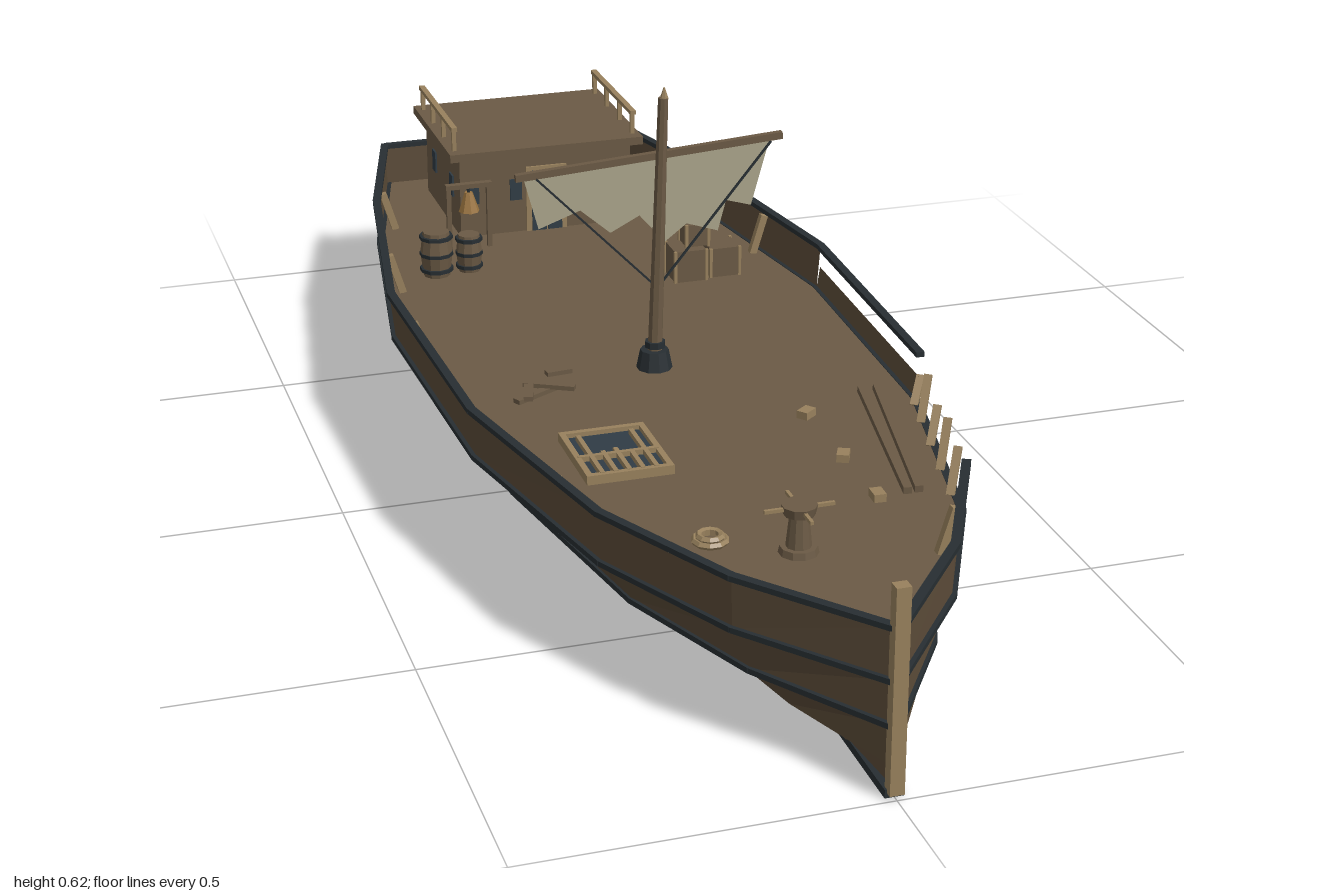
import * as THREE from 'three';

const mat = (name, color, double) => {
  const m = new THREE.MeshStandardMaterial({ color, flatShading: true });
  m.name = name;
  if (double) m.side = THREE.DoubleSide;
  return m;
};

export function createModel() {
  const ship = new THREE.Group();
  ship.name = 'oldShip';
  const hullWood = mat('hull wood', 0x5c4c39, true);
  const wood = mat('deck wood', 0x6b5a45, true);
  const tan = mat('pale wood', 0x98815d);
  const iron = mat('dark iron', 0x272e32);
  const glass = mat('dark opening', 0x303c45);
  const cloth = mat('sail cloth', 0xaaa48a, true);
  const brass = mat('brass', 0x9a7440);

  const V = (x, y, z) => new THREE.Vector3(x, y, z);
  const add = (name, geo, m, x = 0, y = 0, z = 0, parent = ship) => {
    const mesh = new THREE.Mesh(geo, m);
    mesh.name = name;
    mesh.position.set(x, y, z);
    parent.add(mesh);
    return mesh;
  };
  const box = (name, m, w, h, d, x, y, z, parent) =>
    add(name, new THREE.BoxGeometry(w, h, d), m, x, y, z, parent);
  const cyl = (name, m, rt, rb, h, x, y, z, sides = 8, parent) =>
    add(name, new THREE.CylinderGeometry(rt, rb, h, sides), m, x, y, z, parent);
  // box beam from a to b
  const beam = (name, m, a, b, w, h, extra = 0) => {
    const mesh = box(name, m, w, h, a.distanceTo(b) + extra, 0, 0, 0);
    mesh.position.copy(a).add(b).multiplyScalar(0.5);
    mesh.lookAt(b);
    return mesh;
  };

  // Hull: stations [z, half width], levels [y, share of width]
  const stations = [[0.985, 0.004], [0.8, 0.153], [0.575, 0.263], [0.205, 0.345],
    [-0.265, 0.36], [-0.69, 0.293], [-0.975, 0.218]];
  const levels = [[0.007, 0.12], [0.04, 0.47], [0.1, 0.82], [0.163, 0.985], [0.237, 1]];
  const deckY = 0.166;
  const pt = (s, l, side = 1, y = levels[l][0]) =>
    V(side * stations[s][1] * levels[l][1], y, stations[s][0]);
  const widthAt = z => {
    for (let i = 0; i < 6; i++) {
      const [z0, w0] = stations[i], [z1, w1] = stations[i + 1];
      if (z <= z0 && z >= z1) return w0 + (w1 - w0) * (z0 - z) / (z0 - z1);
    }
    return 0.22;
  };
  const tris = [];
  const quad = (a, b, c, d) => [a, b, c, a, c, d].forEach(p => tris.push(p.x, p.y, p.z));
  for (const side of [1, -1]) {
    for (let s = 0; s < 6; s++) {
      for (let l = 0; l < 4; l++) {
        let top = levels[l + 1][0];
        if (l === 3 && side === 1 && s === 2) continue; // breach in the bulwark
        if (l === 3 && side === 1 && s === 3) top = 0.2; // broken lower bulwark
        const q = [pt(s, l, side), pt(s + 1, l, side), pt(s + 1, l + 1, side, top), pt(s, l + 1, side, top)];
        quad(...(side > 0 ? q : q.reverse()));
      }
    }
  }
  for (let s = 0; s < 6; s++) quad(pt(s, 0, -1), pt(s + 1, 0, -1), pt(s + 1, 0), pt(s, 0));
  for (let l = 0; l < 4; l++) quad(pt(6, l, 1), pt(6, l, -1), pt(6, l + 1, -1), pt(6, l + 1, 1));
  const hullGeo = new THREE.BufferGeometry();
  hullGeo.setAttribute('position', new THREE.Float32BufferAttribute(tris, 3));
  hullGeo.computeVertexNormals();
  add('hull', hullGeo, hullWood);

  // Deck
  const outline = [1, -1].flatMap(side => {
    const row = stations.map(([z, w]) => new THREE.Vector2(side * w * 0.985, -z));
    return side > 0 ? row : row.reverse();
  });
  add('deck', new THREE.ShapeGeometry(new THREE.Shape(outline)).rotateX(-Math.PI / 2), wood, 0, deckY, 0);

  // Wales and cap rail
  for (const l of [2, 3, 4]) {
    for (const side of [1, -1]) {
      for (let s = 0; s < 6; s++) {
        if (l === 4 && side === 1 && s === 2) continue;
        beam(l === 4 ? 'capRail' : 'wale', iron, pt(s, l, side), pt(s + 1, l, side), 0.013, 0.008, 0.004);
      }
    }
  }
  beam('sternRail', iron, pt(6, 4, 1), pt(6, 4, -1), 0.012, 0.008);
  box('keel', iron, 0.026, 0.012, 1.965, 0, 0.006, 0.008);
  box('stemPost', tan, 0.02, 0.291, 0.018, 0, 0.1525, 0.991);

  // Stern hatch
  box('sternHatchFrame', iron, 0.06, 0.088, 0.008, 0, 0.148, -0.99);
  box('sternHatch', hullWood, 0.05, 0.078, 0.008, 0, 0.148, -0.996);
  box('sternBracket', iron, 0.008, 0.012, 0.05, 0, 0.19, -0.965);

  // Bulwark knees
  for (const side of [1, -1]) {
    for (const z of [-0.74, -0.445, -0.15, 0.45, 0.69]) {
      if (side === 1 && (z === 0.45 || z === -0.15)) continue;
      const w = widthAt(z);
      beam('bulwarkKnee', tan, V(side * (w - 0.028), deckY, z), V(side * (w - 0.008), 0.232, z), 0.012, 0.012);
    }
  }

  // Broken planks at the breach
  [0.53, 0.45, 0.37, 0.29, 0.23].forEach((z, i) => {
    const w = widthAt(z);
    beam('brokenPlank', tan, V(w - 0.012, deckY, z), V(w + 0.01, [0.225, 0.232, 0.215, 0.228, 0.2][i], z - 0.03), 0.012, 0.006);
  });
  beam('fallenRail', wood, V(0.295, 0.172, 0.16), V(0.222, 0.172, 0.51), 0.012, 0.01);
  beam('fallenRail', wood, V(0.27, 0.172, 0.16), V(0.205, 0.172, 0.51), 0.012, 0.01);
  for (const z of [0.22, 0.375, 0.51]) box('splinter', tan, 0.025, 0.012, 0.018, 0.16, 0.172, z).rotation.y = z * 3;

  // Cabin
  const cabin = new THREE.Group();
  cabin.name = 'cabin';
  ship.add(cabin);
  box('cabinWalls', wood, 0.305, 0.145, 0.255, 0, 0.2375, -0.79, cabin);
  box('cabinRoof', wood, 0.343, 0.014, 0.285, 0, 0.315, -0.79, cabin);
  const front = -0.6625;
  for (const x of [-0.13, -0.054, 0.052, 0.128]) box('cabinWindow', glass, 0.021, 0.038, 0.006, x, 0.244, front, cabin);
  box('doorFrame', tan, 0.072, 0.117, 0.008, 0, 0.2245, front, cabin);
  for (const x of [-0.014, 0.014]) box('doorLeaf', glass, 0.025, 0.109, 0.008, x, 0.2215, front + 0.003, cabin);
  for (const side of [1, -1]) {
    for (const z of [-0.72, -0.85]) box('sideWindow', glass, 0.006, 0.038, 0.024, side * 0.1525, 0.244, z, cabin);
    for (const z of [-0.672, -0.75, -0.83, -0.908]) box('roofRailPost', tan, 0.007, 0.04, 0.007, side * 0.159, 0.34, z, cabin);
    box('roofRail', tan, 0.01, 0.007, 0.25, side * 0.159, 0.361, -0.79, cabin);
  }

  // Mast, yard, sail and ropes
  const mastZ = -0.025;
  const mast = cyl('mast', wood, 0.008, 0.012, 0.435, 0.007, 0.3825, mastZ, 8);
  mast.rotation.z = -0.032;
  cyl('mastTip', tan, 0.001, 0.007, 0.018, 0.0155, 0.607, mastZ, 6);
  cyl('mastCollar', iron, 0.022, 0.028, 0.03, 0, deckY + 0.015, mastZ, 10);
  cyl('mastBand', iron, 0.016, 0.016, 0.01, 0.001, 0.205, mastZ, 8);
  beam('yard', wood, V(-0.213, 0.493, -0.035), V(0.206, 0.52, -0.035), 0.01, 0.011);
  const sail = [[-0.2, 0.49], [-0.178, 0.408], [-0.113, 0.431], [-0.066, 0.39], [-0.02, 0.413],
    [0.02, 0.366], [0.055, 0.392], [0.105, 0.375], [0.118, 0.423], [0.158, 0.411], [0.187, 0.515]];
  add('tornSail', new THREE.ShapeGeometry(new THREE.Shape(sail.map(p => new THREE.Vector2(...p)))), cloth, 0, 0, -0.036);
  beam('rope', iron, V(-0.182, 0.49, -0.03), V(-0.003, 0.305, mastZ), 0.003, 0.003);
  beam('rope', iron, V(0.187, 0.513, -0.03), V(0.012, 0.305, mastZ), 0.003, 0.003);

  // Cargo hatch with broken grating
  box('hatchOpening', glass, 0.12, 0.006, 0.145, -0.15, deckY + 0.004, 0.273);
  for (const s of [1, -1]) {
    box('hatchFrame', tan, 0.009, 0.014, 0.155, -0.15 + s * 0.06, deckY + 0.007, 0.273);
    box('hatchFrame', tan, 0.129, 0.014, 0.009, -0.15, deckY + 0.007, 0.273 + s * 0.073);
  }
  [0.13, 0.07, 0.075, 0.06, 0.13].forEach((d, i) =>
    box('gratingBar', tan, 0.007, 0.008, d, -0.19 + i * 0.02, deckY + 0.011, 0.345 - d / 2));
  box('gratingBar', tan, 0.12, 0.008, 0.007, -0.15, deckY + 0.011, 0.285);

  // Capstan
  cyl('capstanBase', wood, 0.026, 0.028, 0.01, 0, deckY + 0.005, 0.63, 10);
  cyl('capstanDrum', wood, 0.013, 0.018, 0.05, 0, deckY + 0.035, 0.63, 10);
  cyl('capstanHead', wood, 0.025, 0.022, 0.014, 0, deckY + 0.064, 0.63, 10);
  for (const a of [0, Math.PI / 2]) box('capstanBar', tan, 0.1, 0.005, 0.005, 0, deckY + 0.066, 0.63).rotation.y = a;

  // Rope coil
  for (let i = 0; i < 2; i++)
    add('ropeCoil', new THREE.TorusGeometry(0.022 - i * 0.006, 0.005, 5, 10).rotateX(Math.PI / 2), tan, -0.105, deckY + 0.005 + i * 0.006, 0.57);

  // Deck debris
  [[-0.2, 0.03, 0.09, 0.5], [-0.18, 0.02, 0.08, -0.5], [-0.22, 0.05, 0.05, 1.3], [-0.16, 0.0, 0.04, 0.1]].forEach(([x, z, w, a], i) => {
    box('looseBoard', wood, w, 0.007, 0.014, x, deckY + 0.005 + i * 0.006, z).rotation.y = a;
  });

  // Crates
  const crate = (x, y, z, s) => {
    const h = s / 2;
    box('crate', wood, s, s, s, x, y + h, z);
    for (const i of [-1, 1]) for (const j of [-1, 1])
      box('crateBatten', tan, 0.005, s + 0.002, 0.005, x + i * h, y + h, z + j * h);
  };
  crate(0.163, deckY, -0.375, 0.054);
  crate(0.225, deckY, -0.38, 0.05);
  crate(0.18, deckY + 0.054, -0.385, 0.038);

  // Barrels
  for (const [x, z, r, h] of [[-0.232, -0.505, 0.027, 0.077], [-0.175, -0.51, 0.022, 0.064]]) {
    const profile = [[0, 0], [r * 0.82, 0], [r, h * 0.5], [r * 0.82, h], [0, h]].map(p => new THREE.Vector2(...p));
    add('barrel', new THREE.LatheGeometry(profile, 10), wood, x, deckY, z);
    for (const t of [0.15, 0.5, 0.88]) cyl('barrelHoop', iron, r * 1.04, r * 1.04, 0.006, x, deckY + h * t, z, 10);
  }

  // Bell on its frame
  for (const x of [-0.185, -0.115]) box('bellPost', wood, 0.008, 0.11, 0.008, x, deckY + 0.055, -0.61);
  box('bellBeam', wood, 0.08, 0.008, 0.012, -0.15, 0.279, -0.61);
  cyl('bell', brass, 0.007, 0.018, 0.034, -0.15, 0.25, -0.61, 8);
  cyl('bellHanger', iron, 0.003, 0.003, 0.012, -0.15, 0.271, -0.61, 6);

  return ship;
}
